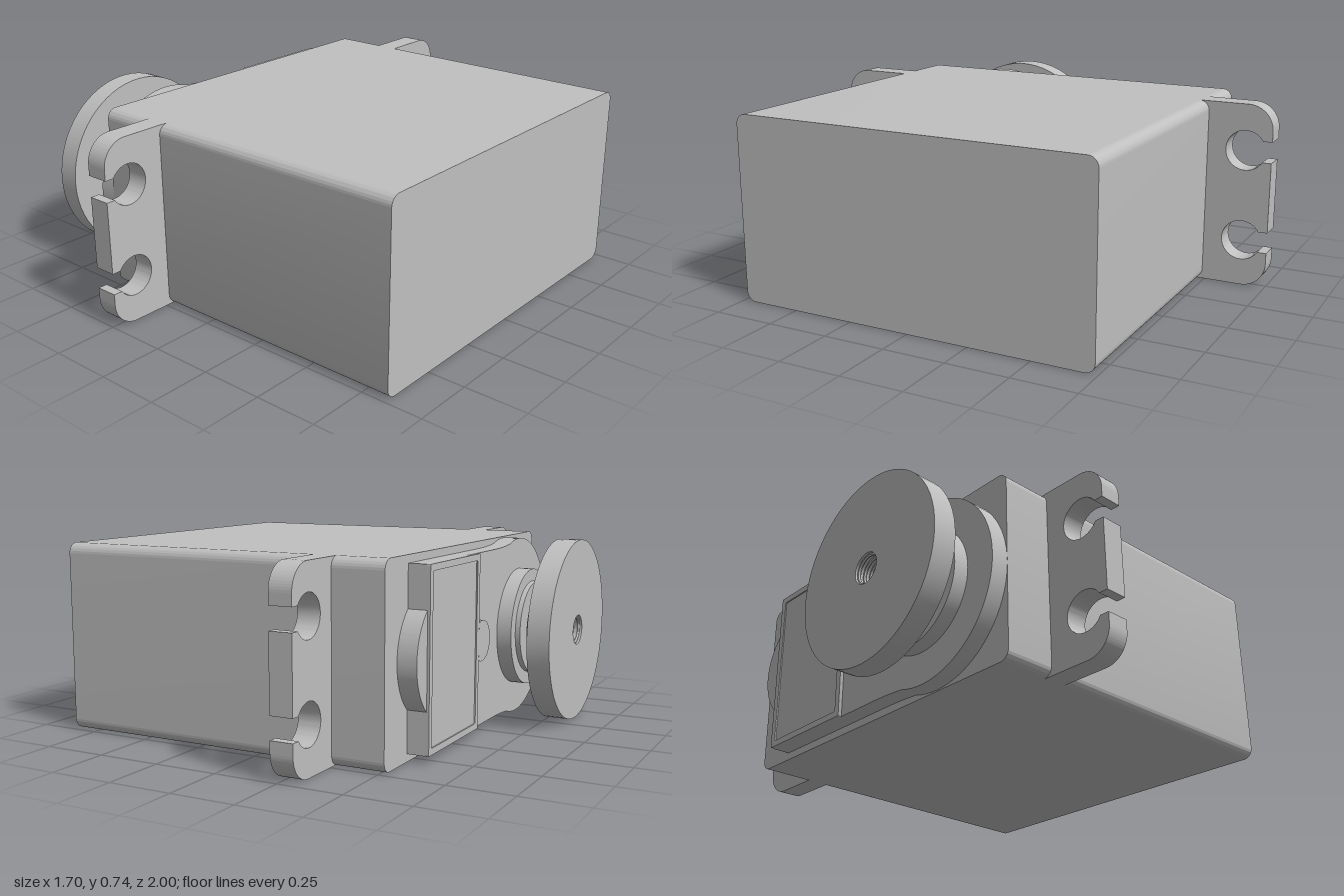
import * as THREE from 'three';
import { toCreasedNormals } from 'three/addons/utils/BufferGeometryUtils.js';

const H = 0.74, MID = H / 2, SHAFT_Z = 0.37;

export function createModel() {
  const grey = new THREE.MeshStandardMaterial({ color: 0xc0c0c0 });
  grey.name = 'plain grey';
  const model = new THREE.Group();
  model.name = 'servoMotor';

  const add = (name, geometry) => {
    const mesh = new THREE.Mesh(toCreasedNormals(geometry, 0.6), grey);
    mesh.name = name;
    model.add(mesh);
  };

  // Outlines are drawn in (z, y) and extruded along x from x0 to x1
  const addSlab = (name, shape, x0, x1) => {
    const geo = new THREE.ExtrudeGeometry(shape, { depth: x1 - x0, bevelEnabled: false, curveSegments: 24 });
    geo.rotateY(-Math.PI / 2).translate(x1, 0, 0);
    add(name, geo);
  };

  const roundedRect = (z0, y0, z1, y1, r) => {
    const s = new THREE.Shape();
    s.moveTo(z0 + r, y0);
    s.absarc(z1 - r, y0 + r, r, -Math.PI / 2, 0);
    s.absarc(z1 - r, y1 - r, r, 0, Math.PI / 2);
    s.absarc(z0 + r, y1 - r, r, Math.PI / 2, Math.PI);
    s.absarc(z0 + r, y0 + r, r, Math.PI, Math.PI * 1.5);
    return s;
  };

  // Main case
  addSlab('case', roundedRect(-0.74, 0, 0.735, H, 0.04), -0.52, 0.85);

  // Mounting flange with open keyhole slots at both ends
  const flange = new THREE.Shape();
  const R = 0.1, holeR = 0.08, a = Math.asin(0.042 / holeR), holes = [0.187, 0.555];
  flange.moveTo(-1 + R, 0);
  flange.absarc(1 - R, R, R, -Math.PI / 2, 0);
  for (const y of holes) {
    flange.lineTo(1, y - 0.042);
    flange.absarc(0.895, y, holeR, -a, a, true);
    flange.lineTo(1, y + 0.042);
  }
  flange.absarc(1 - R, H - R, R, 0, Math.PI / 2);
  flange.absarc(-1 + R, H - R, R, Math.PI / 2, Math.PI);
  for (const y of [...holes].reverse()) {
    flange.lineTo(-1, y + 0.042);
    flange.absarc(-0.895, y, holeR, Math.PI - a, Math.PI + a, true);
    flange.lineTo(-1, y - 0.042);
  }
  flange.absarc(-1 + R, R, R, Math.PI, Math.PI * 1.5);
  addSlab('mountingFlange', flange, -0.315, -0.225);

  // Raised gearbox cover: straight strip flowing into a round boss
  const cover = new THREE.Shape();
  cover.moveTo(-0.56, MID - 0.34);
  cover.lineTo(0.1, MID - 0.34);
  cover.quadraticCurveTo(0.18, MID - 0.34, 0.26, MID - 0.348);
  cover.absarc(SHAFT_Z, MID, 0.365, -1.877, 1.877);
  cover.quadraticCurveTo(0.18, MID + 0.34, 0.1, MID + 0.34);
  cover.lineTo(-0.56, MID + 0.34);
  addSlab('gearboxCover', cover, -0.59, -0.52);

  // Label plate with a thin rim
  addSlab('labelPlate', roundedRect(-0.56, 0.03, -0.1, 0.71, 0.005), -0.6, -0.59);
  const rim = roundedRect(-0.56, 0.03, -0.1, 0.71, 0.005);
  rim.holes.push(roundedRect(-0.535, 0.055, -0.125, 0.685, 0.005));
  addSlab('labelRim', rim, -0.605, -0.6);

  // Round end tab beside the label and small round dot on its other side
  const tab = new THREE.Shape();
  tab.absarc(-0.412, MID, 0.233, Math.PI - 0.885, Math.PI + 0.885);
  addSlab('endTab', tab, -0.595, -0.52);
  const dot = new THREE.Shape();
  dot.absarc(-0.065, MID, 0.08, -2.02, 2.02);
  addSlab('coverDot', dot, -0.605, -0.59);

  // Turned output shaft and round horn with a screw hole: [x, radius]
  const profile = [
    [-0.59, 0.24], [-0.65, 0.24], [-0.65, 0.19], [-0.67, 0.19], [-0.67, 0.11], [-0.69, 0.11],
    [-0.69, 0.168], [-0.76, 0.168], [-0.76, 0.368], [-0.85, 0.368], [-0.85, 0.06], [-0.72, 0.06], [-0.72, 0],
  ].map(([x, r]) => new THREE.Vector2(r, -x));
  const horn = new THREE.LatheGeometry(profile, 64);
  horn.rotateZ(Math.PI / 2).translate(0, MID, SHAFT_Z);
  add('outputShaftAndHorn', horn);

  // Thread rings inside the screw hole
  for (let i = 0; i < 4; i++) {
    const ring = new THREE.TorusGeometry(0.058, 0.007, 6, 32);
    ring.rotateY(Math.PI / 2).translate(-0.835 + i * 0.025, MID, SHAFT_Z);
    add('screwThread', ring);
  }
  return model;
}
